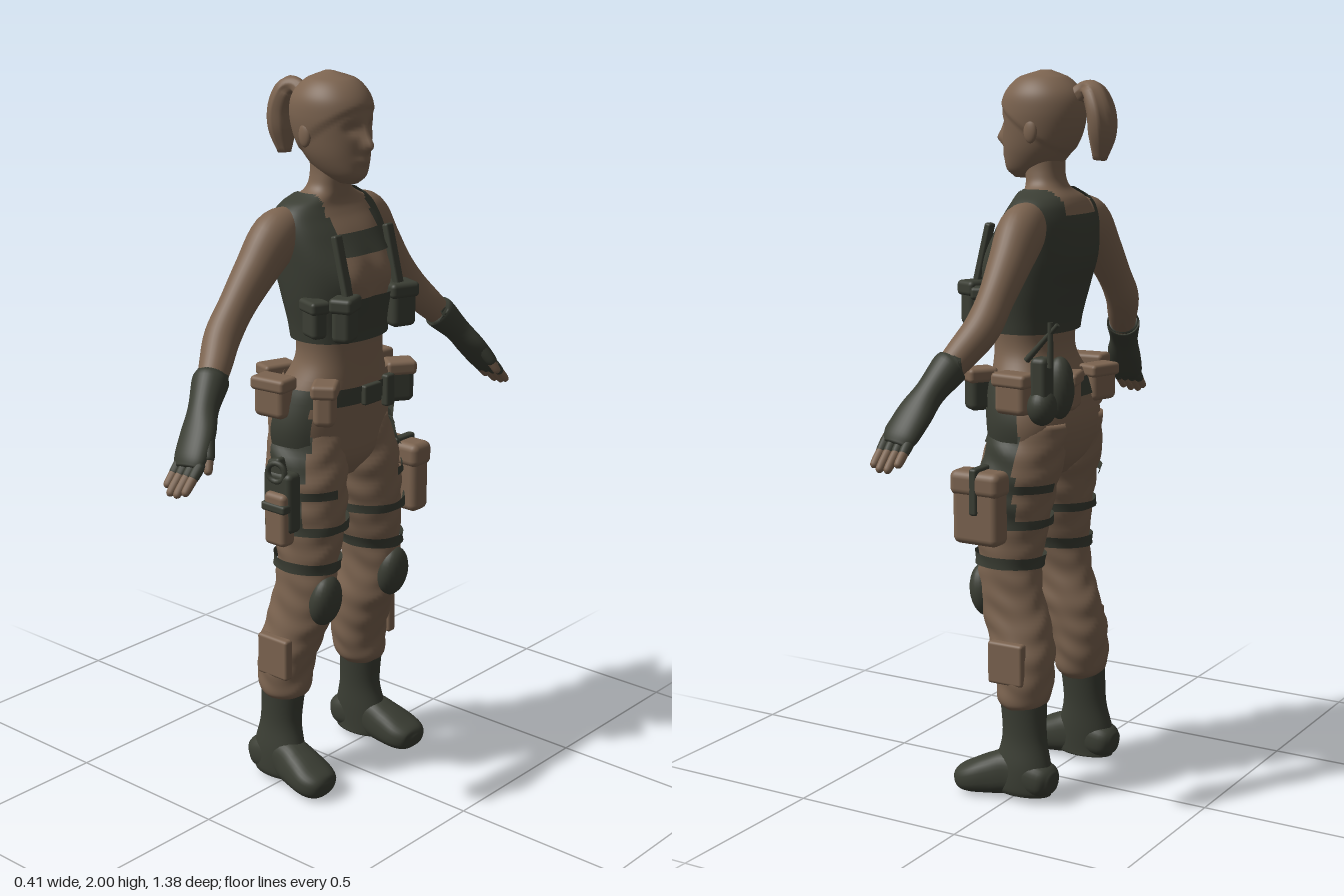
import * as THREE from 'three';
import { RoundedBoxGeometry } from 'three/addons/geometries/RoundedBoxGeometry.js';

const tan = new THREE.MeshStandardMaterial({ color: 0x7c6450 });
tan.name = 'tan';
const dark = new THREE.MeshStandardMaterial({ color: 0x3b3e34, side: THREE.DoubleSide });
dark.name = 'dark olive';

// One horizontal cross-section from its extents: height, back, front, inner and outer side
const span = (y, x0, x1, z0, z1) => [(x0 + x1) / 2, y, (z0 + z1) / 2, (x1 - x0) / 2, (z1 - z0) / 2];
const bump = (d, w) => Math.exp(-d * d / (w * w));

// Smooth skin over elliptical sections [x, y, z, radiusU, radiusV]; keep() selects a patch of it
function loft(rows, { level = false, u = [1, 0, 0], n = 32, steps = 5, grow = 0, keep, sculpt, power = 1 } = {}) {
  const path = new THREE.CatmullRomCurve3(rows.map(r => new THREE.Vector3(r[0], r[1], r[2])), false, 'catmullrom');
  const size = new THREE.CatmullRomCurve3(rows.map(r => new THREE.Vector3(r[3], r[4], 0)), false, 'catmullrom');
  const m = (rows.length - 1) * steps, pts = [], index = [];
  const shape = c => Math.sign(c) * Math.pow(Math.abs(c), power);
  for (let i = 0; i <= m; i++) {
    const c = path.getPoint(i / m), r = size.getPoint(i / m);
    const t = level ? new THREE.Vector3(0, Math.sign(rows.at(-1)[1] - rows[0][1]), 0) : path.getTangent(i / m);
    const U = new THREE.Vector3(...u);
    U.addScaledVector(t, -U.dot(t)).normalize();
    const V = t.clone().cross(U);
    for (let j = 0; j < n; j++) {
      const a = j / n * Math.PI * 2;
      const p = c.clone().addScaledVector(U, (r.x + grow) * shape(Math.cos(a))).addScaledVector(V, (r.y + grow) * shape(Math.sin(a)));
      if (sculpt) sculpt(p, a, c);
      pts.push(p);
    }
  }
  for (let i = 0; i < m; i++) for (let j = 0; j < n; j++) {
    const k = (j + 1) % n, a = i * n + j, b = i * n + k, c = a + n, d = b + n;
    if (keep && !keep(pts[a].clone().add(pts[d]).multiplyScalar(0.5))) continue;
    index.push(a, b, c, b, d, c);
  }
  if (!keep) {
    const e = pts.length, last = m * n;
    pts.push(path.getPoint(0), path.getPoint(1));
    for (let j = 0; j < n; j++) {
      const k = (j + 1) % n;
      index.push(e, k, j, e + 1, last + j, last + k);
    }
  }
  const g = new THREE.BufferGeometry().setFromPoints(pts);
  g.setIndex(index);
  g.computeVertexNormals();
  return g;
}

export function createModel() {
  const model = new THREE.Group();
  model.name = 'soldier';
  const add = (name, geo, mat, x = 0, y = 0, z = 0) => {
    const mesh = new THREE.Mesh(geo, mat);
    mesh.name = name;
    mesh.position.set(x, y, z);
    model.add(mesh);
    return mesh;
  };
  const box = (name, mat, w, h, d, x, y, z) =>
    add(name, new RoundedBoxGeometry(w, h, d, 3, Math.min(w, h, d) * 0.3), mat, x, y, z);
  const ball = (name, mat, rx, ry, rz, x, y, z) => {
    const b = add(name, new THREE.SphereGeometry(1, 24, 16), mat, x, y, z);
    b.scale.set(rx, ry, rz);
    return b;
  };
  // Pouch with a flap folded over its top
  const pouch = (name, mat, flap, w, h, d, x, y, z, turn = 0) => {
    box(name, mat, w, h, d, x, y, z).rotation.y = turn;
    box(name + 'Flap', flap, w + 0.012, h * 0.35, d + 0.012, x, y + h * 0.35, z).rotation.y = turn;
  };

  // Torso and neck
  const torso = [
    [0.90, -0.05, 0.08, 0.07], [0.96, -0.10, 0.12, 0.165], [1.05, -0.122, 0.13, 0.195], [1.15, -0.10, 0.138, 0.175],
    [1.24, -0.06, 0.138, 0.135], [1.32, -0.062, 0.14, 0.137], [1.42, -0.088, 0.15, 0.152], [1.50, -0.11, 0.145, 0.16],
    [1.58, -0.108, 0.105, 0.165], [1.63, -0.095, 0.07, 0.158], [1.66, -0.08, 0.055, 0.13], [1.69, -0.055, 0.055, 0.07],
    [1.73, -0.045, 0.06, 0.054], [1.80, -0.05, 0.07, 0.054],
  ].map(([y, a, b, w]) => span(y, a, b, -w, w));
  const bust = p => {
    if (p.x > 0.05) p.x += 0.018 * bump(p.y - 1.465, 0.06) * bump(Math.abs(p.z) - 0.065, 0.05);
  };
  const body = { level: true, n: 72, steps: 8, sculpt: bust, power: 0.9 };
  add('torso', loft(torso, body), tan);
  // Vest with an open chest, shoulder straps and a solid back
  add('vest', loft(torso, {
    ...body, grow: 0.013, keep: ({ x, y, z }) => {
      const w = Math.abs(z);
      if (y < 1.3 || y > 1.685) return false;
      if (x < -0.02) return y < 1.62 || w > 0.075;
      return y < 1.425 || (y > 1.535 && y < 1.585) || w > (y > 1.585 ? 0.085 : 0.095);
    },
  }), dark);
  add('belt', loft(torso, { ...body, grow: 0.014, keep: p => p.y > 1.12 && p.y < 1.175 }), dark);
  add('waistband', loft(torso, { ...body, grow: 0.009, keep: p => p.y > 1.085 && p.y < 1.2 }),
    tan);

  // Head with brow, nose, lips and hairline
  const head = [
    [1.712, 0.04, 0.10, 0.022], [1.735, -0.02, 0.124, 0.05], [1.78, -0.065, 0.128, 0.075], [1.83, -0.092, 0.13, 0.089],
    [1.89, -0.103, 0.129, 0.097], [1.94, -0.092, 0.115, 0.091], [1.98, -0.055, 0.078, 0.06], [2.0, -0.01, 0.02, 0.008],
  ].map(([y, a, b, w]) => span(y, a, b, -w, w));
  add('head', loft(head, {
    level: true, n: 72, steps: 8, sculpt: (p, a, c) => {
      const w = Math.abs(p.z);
      if (p.x > 0.05) {
        p.x += 0.026 * bump(p.y - 1.815, 0.02) * bump(w, 0.014) + 0.012 * bump(p.y - 1.845, 0.025) * bump(w, 0.01);
        p.x += 0.008 * bump(p.y - 1.775, 0.012) * bump(w, 0.025) - 0.013 * bump(p.y - 1.86, 0.016) * bump(w - 0.035, 0.02);
      }
      const hair = THREE.MathUtils.smoothstep(p.y * 0.8 - p.x * 0.55, 1.455, 1.47) * (p.y < 1.985 ? 0.05 : 0);
      p.x += (p.x - c.x) * hair;
      p.z += p.z * hair;
    },
  }), tan);
  add('ponytail', loft([
    [-0.085, 1.93, 0, 0.025, 0.025], [-0.115, 1.95, 0, 0.022, 0.022], [-0.145, 1.94, -0.005, 0.04, 0.03],
    [-0.168, 1.89, -0.01, 0.05, 0.034], [-0.172, 1.83, -0.01, 0.044, 0.033], [-0.165, 1.765, -0.01, 0.018, 0.016],
  ], { u: [0, 0, 1], sculpt: (p, a) => { p.x += 0.003 * Math.sin(a * 6); } }), tan);

  for (const s of [1, -1]) {
    const side = s > 0 ? 'right' : 'left';
    const flip = rows => rows.map(([x, y, z, a, b]) => [x, y, z * s, a, b]);
    ball(side + 'Ear', tan, 0.02, 0.032, 0.01, 0.0, 1.84, s * 0.093);

    // Arm
    add(side + 'Arm', loft(flip([
      [-0.02, 1.615, 0.11, 0.045, 0.045], [-0.025, 1.58, 0.18, 0.062, 0.072], [-0.03, 1.50, 0.255, 0.055, 0.061],
      [-0.032, 1.42, 0.325, 0.047, 0.051], [-0.027, 1.35, 0.385, 0.048, 0.049], [0, 1.29, 0.44, 0.043, 0.043],
      [0.03, 1.23, 0.50, 0.033, 0.033],
    ])), tan);
    // Fingerless glove, fingers and thumb
    add(side + 'Glove', loft(flip([
      [0.012, 1.262, 0.468, 0.042, 0.04], [0.016, 1.255, 0.476, 0.049, 0.047], [0.04, 1.20, 0.527, 0.042, 0.036],
      [0.06, 1.15, 0.567, 0.052, 0.032], [0.075, 1.10, 0.607, 0.052, 0.027], [0.08, 1.075, 0.625, 0.043, 0.02],
    ])), dark);
    const finger = (name, mat, x, y, z, dx, dy, dz, r) => add(name, loft(flip([
      [x, y, z, r, r], [x + dx * 0.5, y + dy * 0.5, z + dz * 0.5, r, r],
      [x + dx * 0.9, y + dy * 0.9, z + dz * 0.9, r * 0.85, r * 0.85], [x + dx, y + dy, z + dz, r * 0.3, r * 0.3],
    ]), { n: 12, steps: 4 }), mat);
    [0.045, 0.068, 0.092, 0.114].forEach((x, i) => {
      const l = [0.8, 1, 1, 0.88][i];
      finger(side + 'Finger', tan, x, 1.085, 0.618, 0.002, -0.068 * l, 0.068 * l, 0.0125);
      finger(side + 'FingerSleeve', dark, x, 1.09, 0.613, 0.001, -0.034, 0.034, 0.0145);
    });
    finger(side + 'Thumb', tan, 0.105, 1.135, 0.575, 0.03, -0.068, 0.035, 0.013);
    finger(side + 'ThumbSleeve', dark, 0.095, 1.15, 0.568, 0.03, -0.055, 0.028, 0.017);

    // Creased trouser leg
    const leg = flip([
      [1.06, -0.112, 0.11, 0.0, 0.18], [0.95, -0.10, 0.132, 0.004, 0.212], [0.85, -0.075, 0.14, 0.015, 0.218],
      [0.75, -0.06, 0.14, 0.037, 0.213], [0.66, -0.05, 0.133, 0.065, 0.208], [0.58, -0.062, 0.133, 0.075, 0.208],
      [0.50, -0.085, 0.115, 0.07, 0.213], [0.42, -0.10, 0.082, 0.074, 0.228], [0.34, -0.10, 0.06, 0.08, 0.238],
      [0.285, -0.09, 0.056, 0.092, 0.235], [0.262, -0.07, 0.04, 0.11, 0.22],
    ].map(r => span(...r)));
    const crease = (p, a, c) => {
      const k = 1 + 0.035 * Math.sin(p.y * 75 + 2.5 * Math.sin(a * 2)) * Math.sin(a * 2 + p.y * 14);
      p.x = c.x + (p.x - c.x) * k;
      p.z = c.z + (p.z - c.z) * k;
    };
    const cloth = { level: true, n: 48, steps: 8, sculpt: crease };
    add(side + 'TrouserLeg', loft(leg, cloth), tan);
    add(side + 'LegStraps', loft(leg, {
      ...cloth, grow: 0.011,
      keep: ({ x, y, z }) => (y > 0.655 && y < 0.695) || (y > 0.77 && y < 0.8) || (y > 0.875 && y < 0.9 && Math.abs(z) > 0.13)
        || (y > 0.78 && y < 1.05 && Math.abs(z) > 0.17 && x > -0.02 && x < 0.09),
    }), dark);
    add(side + 'HipPanel', loft(torso, {
      ...body, grow: 0.016, keep: p => p.z * s > 0.15 && p.y > 1.02 && p.y < 1.14 && p.x > -0.02 && p.x < 0.09,
    }), dark);
    ball(side + 'KneePad', dark, 0.04, 0.075, 0.053, 0.117, 0.575, s * 0.145).rotation.z = -0.15;
    box(side + 'CargoPocket', tan, 0.11, 0.12, 0.03, 0.0, 0.40, s * 0.225);

    // Boot
    add(side + 'BootShaft', loft(flip([
      span(0.285, -0.085, 0.045, 0.112, 0.228), span(0.27, -0.088, 0.046, 0.115, 0.225), span(0.18, -0.092, 0.04, 0.125, 0.222),
      span(0.10, -0.11, 0.06, 0.127, 0.233), span(0.04, -0.115, 0.07, 0.13, 0.235), span(0.02, -0.11, 0.06, 0.13, 0.23),
    ]), { level: true }), dark);
    add(side + 'BootFoot', loft(flip([
      [-0.122, 0.06, 0.18, 0.03, 0.03], [-0.09, 0.065, 0.18, 0.05, 0.048], [0, 0.075, 0.184, 0.05, 0.062],
      [0.06, 0.062, 0.19, 0.058, 0.057], [0.12, 0.046, 0.197, 0.064, 0.045], [0.158, 0.038, 0.2, 0.05, 0.034],
      [0.173, 0.035, 0.2, 0.02, 0.016],
    ]), { u: [0, 0, 1], power: 0.8 }), dark);

    // Vest pouches and belt pouches
    pouch(side + 'VestPouch', dark, dark, 0.055, 0.12, 0.075, 0.16, 1.375, s * 0.115, s * 0.35);
    pouch(side + 'VestSidePouch', dark, dark, 0.07, 0.10, 0.045, 0.095, 1.375, s * 0.163, -s * 0.35);
    box(side + 'ChestStrap', dark, 0.02, 0.17, 0.03, 0.14, 1.51, s * 0.105).rotation.z = 0.25;
    pouch(side + 'FrontBeltPouch', s > 0 ? tan : dark, tan, 0.06, 0.115, 0.075, 0.125, 1.145, s * 0.155, s * 0.6);
    pouch(side + 'HipPouch', tan, tan, 0.10, 0.11, 0.06, -0.015, 1.15, s * 0.205, s * 0.1);
    pouch(side + 'RearBeltPouch', tan, tan, 0.055, 0.10, 0.09, -0.115, 1.15, s * 0.085, -s * 0.3);
  }
  box('buckle', dark, 0.02, 0.055, 0.07, 0.155, 1.147, 0);
  box('beltClip', dark, 0.025, 0.09, 0.035, 0.152, 1.14, -0.075);

  // Radio, flask and antenna on the rear left of the belt
  ball('flask', dark, 0.04, 0.085, 0.04, -0.115, 1.165, -0.135);
  box('radio', dark, 0.05, 0.15, 0.055, -0.095, 1.18, -0.195);
  ball('radioBase', dark, 0.04, 0.05, 0.042, -0.095, 1.12, -0.195);
  add('antenna', new THREE.CylinderGeometry(0.006, 0.009, 0.14, 10), dark, -0.1, 1.295, -0.203).rotation.z = 0.75;
  add('antennaMast', new THREE.CylinderGeometry(0.007, 0.009, 0.12, 10), dark, -0.125, 1.29, -0.203);

  // Holster with pistol on the right thigh
  box('holster', dark, 0.10, 0.17, 0.05, 0.05, 0.88, 0.245);
  box('holsterTip', tan, 0.075, 0.15, 0.05, 0.055, 0.835, 0.262);
  box('holsterBand', dark, 0.085, 0.025, 0.06, 0.055, 0.87, 0.262);
  box('pistolGrip', dark, 0.045, 0.09, 0.03, 0.045, 0.955, 0.25).rotation.z = 0.3;
  add('lanyardRing', new THREE.TorusGeometry(0.026, 0.008, 8, 20), dark, 0.05, 0.965, 0.268).rotation.y = 0.2;

  // Satchel on the left thigh
  pouch('thighSatchel', tan, tan, 0.145, 0.2, 0.07, 0.07, 0.835, -0.245);
  box('satchelStrap', dark, 0.025, 0.13, 0.084, 0.07, 0.885, -0.245);
  return model;
}
